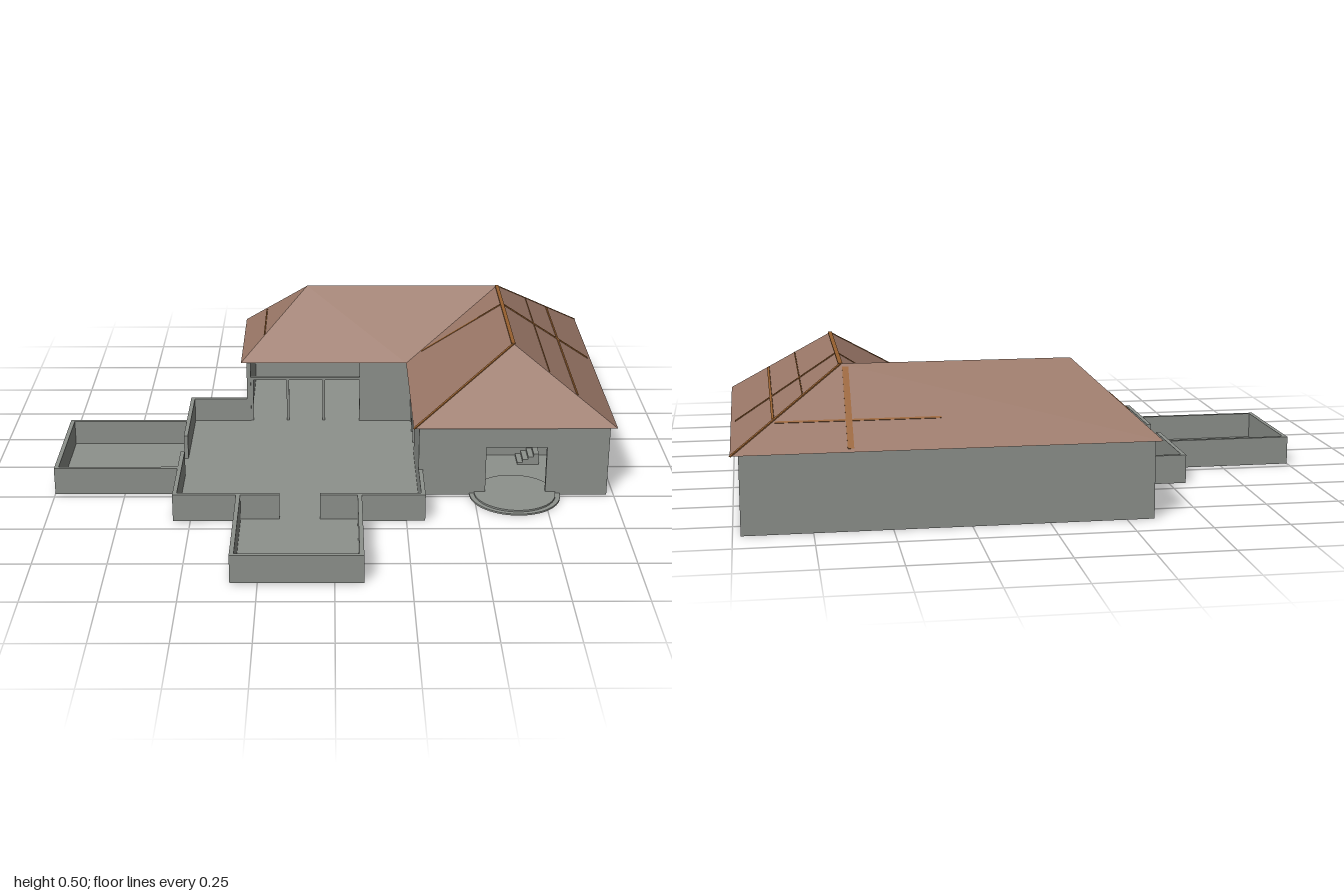
import * as THREE from 'three';

const concrete = new THREE.MeshStandardMaterial({ color: 0x8d918c });
concrete.name = 'concrete grey';
const tiles = new THREE.MeshStandardMaterial({ color: 0x9a7767, side: THREE.DoubleSide });
tiles.name = 'roof brown';
const timber = new THREE.MeshStandardMaterial({ color: 0x97602f });
timber.name = 'timber orange';

export function createModel() {
  const root = new THREE.Group();
  root.name = 'house';
  const group = (name) => {
    const g = new THREE.Group();
    g.name = name;
    root.add(g);
    return g;
  };
  // Box given by its limits on each axis
  const box = (parent, name, x0, x1, y0, y1, z0, z1, mat = concrete) => {
    const m = new THREE.Mesh(new THREE.BoxGeometry(x1 - x0, y1 - y0, z1 - z0), mat);
    m.position.set((x0 + x1) / 2, (y0 + y1) / 2, (z0 + z1) / 2);
    m.name = name;
    parent.add(m);
    return m;
  };
  const T = 0.015, H = 0.26, LOW = 0.1, FLOOR = 0.008;

  // Floor slabs
  const floors = group('floors');
  box(floors, 'backWingFloor', -0.34, 0.975, 0, FLOOR, -0.865, -0.43);
  box(floors, 'rightWingFloor', 0.315, 0.975, 0, FLOOR, -0.43, 0.235);
  box(floors, 'courtFloor', -0.56, 0.315, 0, FLOOR, -0.43, 0.44);
  box(floors, 'sideTerraceFloor', -1, -0.56, 0, FLOOR, -0.21, 0.225);
  box(floors, 'frontTerraceFloor', -0.34, 0.095, 0, FLOOR, 0.44, 0.88);

  // Low parapets around the court and the two terraces
  const low = group('parapets');
  const wall = (x0, x1, z0, z1) => box(low, 'parapet', x0, x1, 0, LOW, z0, z1);
  wall(-0.56, -0.34, -0.43, -0.43 + T);
  wall(-0.56, -0.56 + T, -0.43, -0.06);
  wall(-0.56, -0.56 + T, 0.08, 0.44);
  wall(-0.56, -0.19, 0.44 - T, 0.44);
  wall(-0.05, 0.315, 0.44 - T, 0.44);
  wall(0.3, 0.315, 0.235, 0.44);
  wall(-1, -0.56, -0.21, -0.21 + T);
  wall(-1, -0.56, 0.225 - T, 0.225);
  wall(-1, -1 + T, -0.21, 0.225);
  wall(-0.34, -0.34 + T, 0.44, 0.88);
  wall(0.095 - T, 0.095, 0.44, 0.88);
  wall(-0.34, 0.095, 0.88 - T, 0.88);

  // Full-height walls
  const walls = group('houseWalls');
  box(walls, 'backWall', -0.34, 0.975, 0, H, -0.865, -0.865 + T);
  box(walls, 'outerSideWall', 0.975 - T, 0.975, 0, H, -0.865, 0.235);
  box(walls, 'wingEndWall', -0.34, -0.34 + T, 0, H, -0.865, -0.415);
  box(walls, 'courtBackWall', 0.1, 0.3, 0, H, -0.43, -0.415);
  box(walls, 'courtSideWall', 0.3, 0.3 + T, 0, H, -0.1, 0.235);
  box(walls, 'frontWallRight', 0.3, 0.54, 0, H, 0.235 - T, 0.235);
  box(walls, 'frontWallLeft', 0.755, 0.975, 0, H, 0.235 - T, 0.235);
  box(walls, 'entryLintel', 0.54, 0.755, 0.185, H, 0.235 - T, 0.235);
  box(walls, 'entryInnerWall', 0.315, 0.96, 0, H, -0.1, -0.1 + T);

  // Open galleries towards the court: beam and slim posts
  const gallery = group('gallery');
  box(gallery, 'backBeam', -0.325, 0.1, 0.178, 0.19, -0.43, -0.418);
  box(gallery, 'sideBeam', 0.3, 0.312, 0.178, 0.19, -0.42, -0.1);
  for (const x of [-0.32, -0.18, -0.04])
    box(gallery, 'backPost', x - 0.005, x + 0.005, 0, 0.18, -0.43, -0.42);
  for (const z of [-0.41, -0.31, -0.205])
    box(gallery, 'sidePost', 0.3, 0.31, 0, 0.18, z - 0.005, z + 0.005);

  // Round entry steps and a small indoor stair
  const entry = group('entrySteps');
  [[0.162, 0.006], [0.145, 0.012]].forEach(([r, h]) => {
    const step = new THREE.Mesh(new THREE.CylinderGeometry(r, r, h, 48), concrete);
    step.position.set(0.645, h / 2, 0.24);
    step.name = 'roundStep';
    entry.add(step);
  });
  for (let i = 0; i < 4; i++)
    box(entry, 'stair', 0.68 + i * 0.02, 0.7 + i * 0.02, 0, 0.018 + i * 0.011, -0.08, 0.0);

  // Hipped roof on an L-shaped plan
  const E = 0.26, R = 0.493;
  const p = {
    a: [-0.36, E, -0.89], b: [1, E, -0.89], c: [1, E, 0.24],
    d: [0.28, E, 0.24], e: [0.28, E, -0.39], f: [-0.36, E, -0.395],
    p: [-0.105, R, -0.635], q: [0.645, R, -0.635], r: [0.645, R, 0.01],
  };
  const pos = [];
  for (const face of ['apqb', 'bqrc', 'crd', 'drqe', 'eqpf', 'fpa'])
    for (let i = 1; i < face.length - 1; i++)
      pos.push(...p[face[0]], ...p[face[i]], ...p[face[i + 1]]);
  const roofGeo = new THREE.BufferGeometry();
  roofGeo.setAttribute('position', new THREE.Float32BufferAttribute(pos, 3));
  roofGeo.computeVertexNormals();
  const roof = new THREE.Mesh(roofGeo, tiles);
  roof.name = 'roof';
  root.add(roof);

  // Timber strips lying on the slopes
  const strips = group('roofTimbers');
  const strip = (name, a, b, normal, width) => {
    const A = new THREE.Vector3(...a), B = new THREE.Vector3(...b);
    const along = B.clone().sub(A), n = new THREE.Vector3(...normal).normalize();
    const m = new THREE.Mesh(new THREE.BoxGeometry(along.length(), 0.004, width), timber);
    along.normalize();
    const side = along.clone().cross(n).normalize();
    const up = side.clone().cross(along);
    m.quaternion.setFromRotationMatrix(new THREE.Matrix4().makeBasis(along, up, side));
    m.position.copy(A).add(B).multiplyScalar(0.5);
    m.name = name;
    strips.add(m);
  };
  const rise = R - E;
  const east = (x, z) => [x, E + rise * (1 - x) / 0.355, z];
  const back = (x, z) => [x, E + rise * (z + 0.89) / 0.255, z];
  const nEast = [rise, 0.355, 0], nBack = [0, 0.255, -rise];
  strip('eastPurlin', east(0.865, -0.78), east(0.865, 0.14), nEast, 0.009);
  strip('upperEastPurlin', east(0.77, -0.71), east(0.77, 0.08), nEast, 0.004);
  strip('eastRafter', east(0.985, -0.42), east(0.65, -0.42), nEast, 0.016);
  strip('innerRafter', [0.34, 0.298, -0.42], [0.64, 0.49, -0.42], [-rise, 0.365, 0], 0.01);
  strip('backRafter', back(0.63, -0.88), back(0.63, -0.645), nBack, 0.02);
  strip('backPurlin', back(0.34, -0.8), back(0.86, -0.8), nBack, 0.007);
  strip('endPurlin', [-0.27, E + rise * 0.09 / 0.255, -0.78], [-0.27, E + rise * 0.09 / 0.255, -0.49],
    [-rise, 0.255, 0], 0.006);
  strip('ridgeBeam', p.q, p.r, [0, 1, 0], 0.014);
  strip('backHip', p.q, p.b, [0, 1, 0], 0.008);
  strip('frontHip', p.r, p.d, [0, 1, 0], 0.008);

  return root;
}
